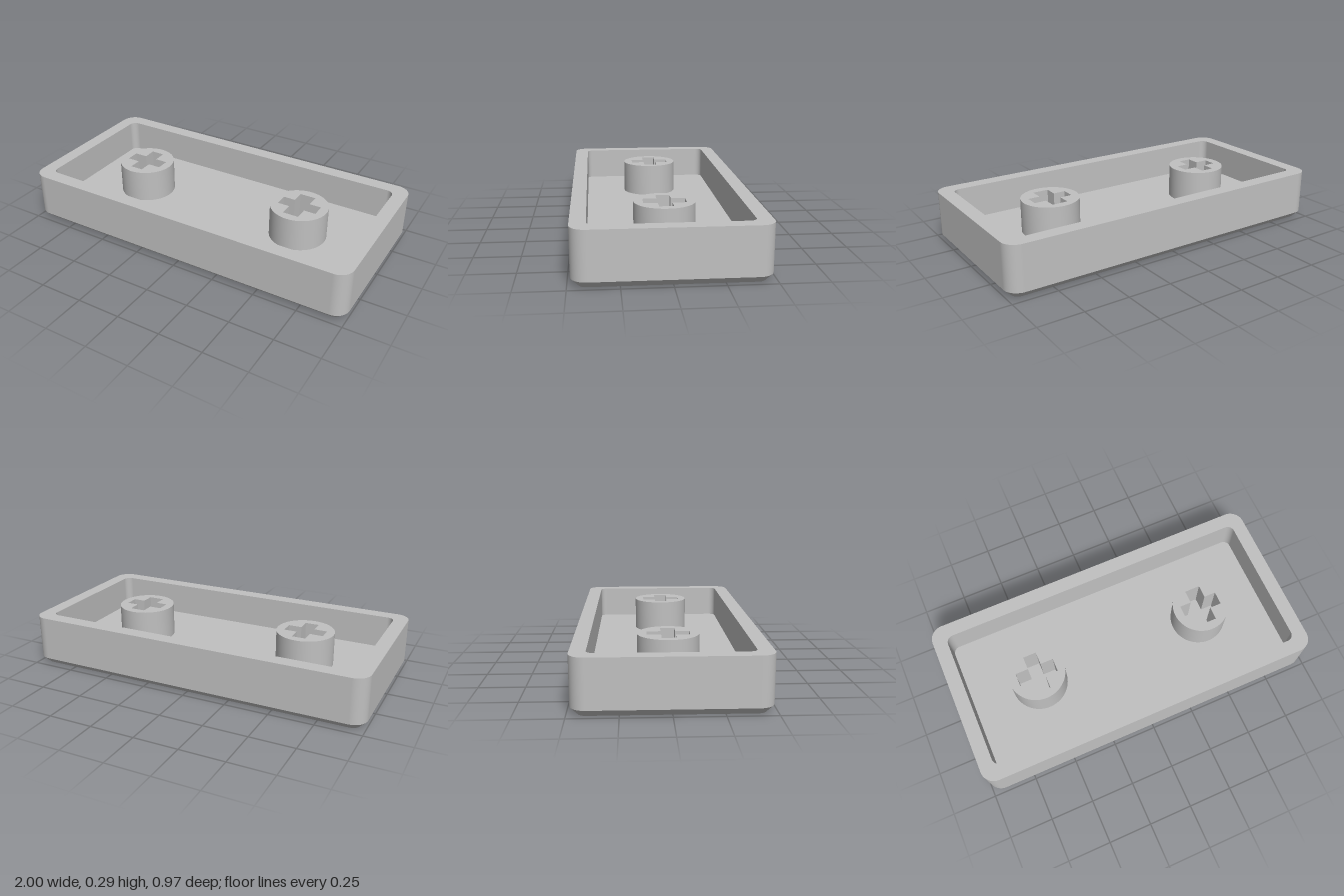
import * as THREE from 'three';
import { toCreasedNormals } from 'three/addons/utils/BufferGeometryUtils.js';

const HEIGHT = 0.29, FLOOR = 0.1;

// Points of a rounded rectangle at height y, with the outward angle of each
function ring({ hw, hd, r, y }, steps = 10) {
  const points = [];
  for (let corner = 0; corner <= 4; corner++) {
    const sx = corner % 4 === 0 || corner === 3 ? 1 : -1;
    const sz = corner % 4 < 2 ? 1 : -1;
    for (let i = 0; i <= (corner === 4 ? 0 : steps); i++) {
      const a = (corner + i / steps) * Math.PI / 2;
      points.push({ x: sx * (hw - r) + r * Math.cos(a), y, z: sz * (hd - r) + r * Math.sin(a), a });
    }
  }
  return points;
}

// Skin between successive rings: crisp along the profile, smooth around the corners
function loft(profile) {
  const pos = [], nor = [], idx = [];
  for (let s = 0; s < profile.length - 1; s++) {
    const lower = ring(profile[s]), upper = ring(profile[s + 1]);
    const dr = profile[s + 1].hw - profile[s].hw, dy = profile[s + 1].y - profile[s].y;
    const len = Math.hypot(dr, dy), base = pos.length / 3;
    lower.forEach((p, i) => {
      for (const q of [p, upper[i]]) {
        pos.push(q.x, q.y, q.z);
        nor.push(Math.cos(p.a) * dy / len, -dr / len, Math.sin(p.a) * dy / len);
      }
      if (i < lower.length - 1) {
        const k = base + i * 2;
        idx.push(k, k + 1, k + 2, k + 2, k + 1, k + 3);
      }
    });
  }
  const geo = new THREE.BufferGeometry();
  geo.setAttribute('position', new THREE.Float32BufferAttribute(pos, 3));
  geo.setAttribute('normal', new THREE.Float32BufferAttribute(nor, 3));
  geo.setIndex(idx);
  return geo;
}

// Round post with a cross-shaped socket; barX is the width of the bar running along z
function postGeometry(barX) {
  const shape = new THREE.Shape().absarc(0, 0, 0.163, 0, Math.PI * 2, false);
  const a = barX / 2, b = 0.038, l = 0.113;
  const cross = [[a, l], [a, b], [l, b], [l, -b], [a, -b], [a, -l],
    [-a, -l], [-a, -b], [-l, -b], [-l, b], [-a, b], [-a, l]];
  shape.holes.push(new THREE.Path(cross.map(([x, y]) => new THREE.Vector2(x, y))));
  const geo = new THREE.ExtrudeGeometry(shape, { depth: HEIGHT - FLOOR, bevelEnabled: false, curveSegments: 32 });
  geo.rotateX(-Math.PI / 2);
  return toCreasedNormals(geo, 0.5);
}

export function createModel() {
  const group = new THREE.Group();
  const grey = new THREE.MeshStandardMaterial({ color: 0xc0c0c0 });
  grey.name = 'light grey';

  // Tray: base, chamfer, outer wall, rim, inner wall, floor
  const tray = new THREE.Mesh(loft([
    { hw: 0, hd: 0, r: 0, y: 0 },
    { hw: 0.963, hd: 0.448, r: 0.043, y: 0 },
    { hw: 1, hd: 0.485, r: 0.08, y: 0.037 },
    { hw: 1, hd: 0.485, r: 0.08, y: HEIGHT },
    { hw: 0.92, hd: 0.404, r: 0.04, y: HEIGHT },
    { hw: 0.92, hd: 0.404, r: 0.04, y: FLOOR },
    { hw: 0, hd: 0, r: 0, y: FLOOR },
  ]), grey);
  tray.name = 'tray';
  group.add(tray);

  // Socket posts
  for (const [name, x, barX] of [['rightPost', -0.516, 0.077], ['leftPost', 0.516, 0.09]]) {
    const post = new THREE.Mesh(postGeometry(barX), grey);
    post.name = name;
    post.position.set(x, FLOOR, 0);
    group.add(post);
  }
  return group;
}
